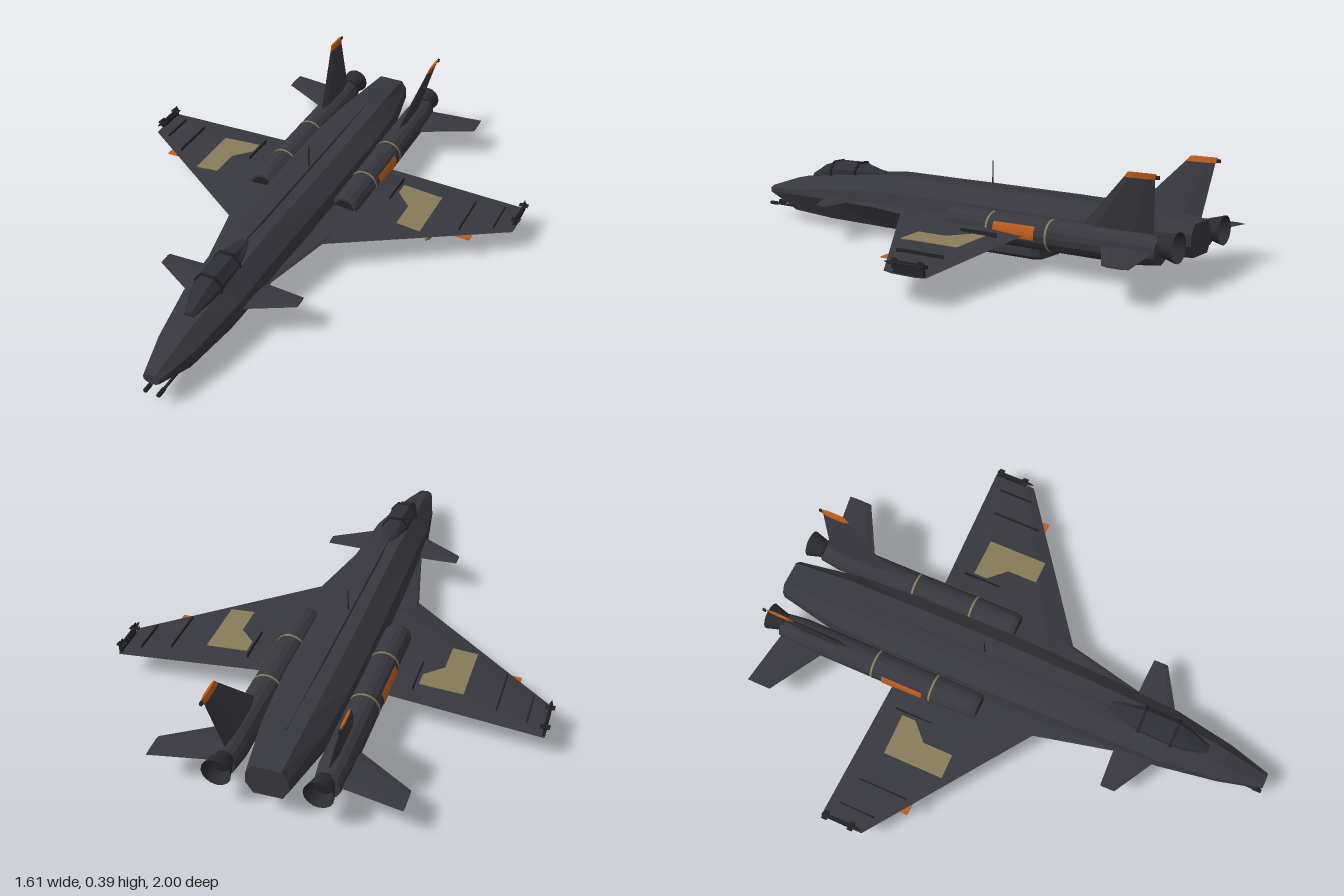
import * as THREE from 'three';

const mat = (name, color, extra = {}) => {
  const m = new THREE.MeshStandardMaterial({ color, ...extra });
  m.name = name;
  return m;
};

// Skin a list of equal-length rings, cap both ends, keep hard facets facing outward
function loft(rings) {
  const tris = [], n = rings[0].length;
  const add = (a, b, c) => tris.push([a, b, c]);
  for (let i = 0; i < rings.length - 1; i++) {
    for (let j = 0; j < n; j++) {
      const k = (j + 1) % n, A = rings[i], B = rings[i + 1];
      add(A[j], A[k], B[k]);
      add(A[j], B[k], B[j]);
    }
  }
  const first = rings[0], last = rings[rings.length - 1];
  for (let j = 1; j < n - 1; j++) {
    add(first[0], first[j + 1], first[j]);
    add(last[0], last[j], last[j + 1]);
  }
  let volume = 0;
  for (const [a, b, c] of tris) {
    volume += new THREE.Vector3(...a).dot(new THREE.Vector3(...b).cross(new THREE.Vector3(...c)));
  }
  const pos = tris.flatMap(([a, b, c]) => (volume < 0 ? [a, c, b] : [a, b, c])).flat();
  const g = new THREE.BufferGeometry();
  g.setAttribute('position', new THREE.Float32BufferAttribute(pos, 3));
  g.computeVertexNormals();
  return g;
}

// Wing-like solid: stations [x, y, zFront, zBack, thickness]
const FOIL = [[0, 0], [0.2, 0.5], [0.75, 0.5], [1, 0], [0.75, -0.5], [0.2, -0.5]];
const foil = (stations, upright = false) => loft(stations.map(([x, y, zf, zb, t]) =>
  FOIL.map(([u, v]) => [x + (upright ? v * t : 0), y + (upright ? 0 : v * t), zf + (zb - zf) * u])));

// Tube-like solid along z, bigger z first
const rod = (rBack, rFront, zBack, zFront, sides = 12, open = false) =>
  new THREE.CylinderGeometry(rFront, rBack, zFront - zBack, sides, 1, open)
    .rotateX(Math.PI / 2).translate(0, 0, (zFront + zBack) / 2);
const box = (w, h, d) => new THREE.BoxGeometry(w, h, d);

export function createModel() {
  const hull = mat('hull charcoal', 0x37373e, { flatShading: true });
  const dark = mat('dark metal', 0x232327, { flatShading: true });
  const glass = mat('canopy glass', 0x2f2f37, { flatShading: true });
  const tan = mat('tan panel', 0x877c59);
  const orange = mat('burnt orange', 0xbb5c1c);
  const olive = mat('olive store', 0x7c7440, { flatShading: true });
  const nozzleMat = mat('nozzle metal', 0x2b2b30, { side: THREE.DoubleSide });

  const model = new THREE.Group();
  model.name = 'jetAircraft';
  const put = (parent, name, geo, m, x = 0, y = 0, z = 0) => {
    const mesh = new THREE.Mesh(geo, m);
    mesh.name = name;
    mesh.position.set(x, y, z);
    parent.add(mesh);
    return mesh;
  };

  // Fuselage: [z, topHalf, topY, shoulderHalf, shoulderY, lowHalf, lowY, bottomHalf, bottomY]
  const body = [
    [0.995, 0.015, 0.135, 0.03, 0.125, 0.03, 0.11, 0.015, 0.1],
    [0.83, 0.03, 0.185, 0.073, 0.14, 0.075, 0.12, 0.045, 0.05],
    [0.6, 0.05, 0.222, 0.105, 0.17, 0.115, 0.13, 0.07, 0.045],
    [0.3, 0.055, 0.248, 0.115, 0.19, 0.135, 0.13, 0.08, 0.045],
    [-0.1, 0.062, 0.246, 0.125, 0.195, 0.142, 0.14, 0.08, 0.045],
    [-0.5, 0.062, 0.242, 0.125, 0.19, 0.14, 0.13, 0.08, 0.058],
    [-0.75, 0.06, 0.236, 0.112, 0.18, 0.122, 0.13, 0.075, 0.078],
    [-0.995, 0.05, 0.212, 0.072, 0.18, 0.075, 0.14, 0.05, 0.1],
  ];
  put(model, 'fuselage', loft(body.map(([z, tw, ty, sw, sy, lw, ly, bw, by]) => [
    [tw, ty, z], [sw, sy, z], [lw, ly, z], [bw, by, z],
    [-bw, by, z], [-lw, ly, z], [-sw, sy, z], [-tw, ty, z],
  ])), hull);

  // Dorsal spine: [z, halfWidth, topY]
  put(model, 'dorsalSpine', loft([[0.38, 0.006, 0.25], [0.25, 0.017, 0.259], [-0.45, 0.016, 0.252], [-0.82, 0.006, 0.234]]
    .map(([z, w, y]) => [[w * 0.7, y, z], [w, y - 0.02, z], [-w, y - 0.02, z], [-w * 0.7, y, z]])), hull);

  // Canopy: [z, halfWidth, topY, baseY]
  const canopy = [[0.755, 0.018, 0.21, 0.185], [0.67, 0.042, 0.255, 0.2], [0.61, 0.05, 0.273, 0.21],
    [0.5, 0.05, 0.275, 0.22], [0.4, 0.03, 0.253, 0.235], [0.36, 0.015, 0.25, 0.24]];
  const canopyRing = ([z, w, t, b]) => [[w, b, z], [w, (t + b) / 2, z], [w * 0.5, t, z],
    [-w * 0.5, t, z], [-w, (t + b) / 2, z], [-w, b, z]];
  put(model, 'canopy', loft(canopy.map(canopyRing)), glass);
  for (const [z, t] of [[0.62, 0.275], [0.49, 0.279]]) {
    put(model, 'canopyFrame', loft([z + 0.005, z - 0.005].map(s => canopyRing([s, 0.054, t, 0.21]))), dark);
  }

  put(model, 'antenna', new THREE.CylinderGeometry(0.002, 0.003, 0.1, 6), dark, 0, 0.291, -0.155);

  // Belly tray with painted strips
  put(model, 'bellyTray', loft([[0.21, 0.07], [0.18, 0.085], [-0.38, 0.085], [-0.41, 0.07]]
    .map(([z, w]) => [[w, 0.055, z], [w, 0.024, z], [w * 0.85, 0.012, z], [-w * 0.85, 0.012, z], [-w, 0.024, z], [-w, 0.055, z]])), hull);
  put(model, 'trayRail', box(0.012, 0.008, 0.54), dark, 0, 0.009, -0.1);
  put(model, 'trayProbe', box(0.07, 0.004, 0.02), dark, 0, 0.01, 0.28);

  // Everything paired is built on +x and mirrored
  const half = new THREE.Group();
  half.name = 'leftSide';

  put(half, 'trayStrip', box(0.036, 0.006, 0.54), orange, 0.038, 0.011, -0.1);
  put(half, 'gunBarrel', rod(0.006, 0.005, 0.8, 0.97, 8), dark, 0.025, 0.06, 0);
  put(half, 'gunMuzzle', rod(0.008, 0.008, 0.965, 1, 8), dark, 0.025, 0.06, 0);

  // Lifting surfaces
  put(half, 'strake', foil([[0.09, 0.14, 0.6, -0.05, 0.02], [0.2, 0.136, 0.12, -0.05, 0.012]]), hull);
  put(half, 'wing', foil([[0.1, 0.14, 0.2, -0.437, 0.024], [0.79, 0.1, -0.3, -0.468, 0.008]]), hull);
  put(half, 'canard', foil([[0.09, 0.142, 0.6, 0.43, 0.014], [0.272, 0.14, 0.495, 0.438, 0.006]]), hull);
  put(half, 'tailplane', foil([[0.18, 0.138, -0.72, -0.925, 0.016], [0.435, 0.13, -0.87, -0.965, 0.006]]), hull);
  put(half, 'tailFin', foil([[0.172, 0.17, -0.63, -0.91, 0.026], [0.222, 0.374, -0.824, -0.935, 0.009]], true), hull);
  put(half, 'tailFinTip', foil([[0.222, 0.374, -0.824, -0.94, 0.011], [0.227, 0.393, -0.84, -0.942, 0.008]], true), orange);
  put(half, 'tailLight', box(0.008, 0.012, 0.012), dark, 0.226, 0.382, -0.945);

  // Thin painted plates that follow the wing slope
  const topY = x => 0.152 - 0.0696 * (x - 0.1);
  const lowY = x => 0.128 - 0.0464 * (x - 0.1);
  const plate = (name, pts, yOf, m) => {
    const g = new THREE.ExtrudeGeometry(new THREE.Shape(pts.map(([x, z]) => new THREE.Vector2(x, -z))),
      { depth: 0.004, bevelEnabled: false }).rotateX(-Math.PI / 2);
    const p = g.attributes.position;
    for (let i = 0; i < p.count; i++) p.setY(i, p.getY(i) + yOf(p.getX(i)) - 0.002);
    g.computeVertexNormals();
    put(half, name, g, m);
  };
  plate('wingPatch', [[0.485, -0.355], [0.325, -0.355], [0.325, -0.3], [0.39, -0.235], [0.39, -0.115], [0.485, -0.115]], topY, tan);
  plate('underwingPatch', [[0.57, -0.175], [0.66, -0.175], [0.66, -0.42], [0.57, -0.42]], lowY, orange);
  for (const [x, z0, z1] of [[0.31, -0.39, -0.24], [0.61, -0.395, -0.2], [0.72, -0.42, -0.28]]) {
    put(half, 'wingFence', box(0.004, 0.016, z1 - z0), dark, x, topY(x) + 0.003, (z0 + z1) / 2);
  }

  // Wingtip rail and missile
  put(half, 'tipRail', box(0.01, 0.022, 0.12), dark, 0.786, 0.112, -0.4);
  put(half, 'tipMissile', rod(0.006, 0.006, -0.46, -0.32, 8), dark, 0.786, 0.13, 0);
  put(half, 'tipMissileNose', rod(0.006, 0.001, -0.32, -0.3, 8), dark, 0.786, 0.13, 0);
  for (const z of [-0.34, -0.445]) {
    put(half, 'missileFin', box(0.034, 0.003, 0.022), dark, 0.786, 0.13, z);
    put(half, 'missileFin', box(0.003, 0.034, 0.022), dark, 0.786, 0.13, z);
  }

  // Underwing stores
  for (const [x, z] of [[0.312, -0.2], [0.5, -0.235]]) {
    const store = new THREE.Group();
    store.name = 'store';
    store.position.set(x, 0.068, z);
    const profile = [[0, -0.085], [0.008, -0.085], [0.016, -0.04], [0.018, 0.02], [0.014, 0.065], [0, 0.095]];
    put(store, 'storeBody', new THREE.LatheGeometry(profile.map(p => new THREE.Vector2(...p)), 10).rotateX(Math.PI / 2), olive);
    for (let i = 0; i < 2; i++) {
      put(store, 'storeFin', box(0.042, 0.003, 0.035), olive, 0, 0, -0.075).rotation.z = Math.PI / 4 + i * Math.PI / 2;
    }
    put(store, 'pylon', box(0.01, 0.04, 0.09), dark, 0, 0.03, 0);
    half.add(store);
  }

  // Engine nacelle, bands, side panel and flared nozzle
  const engine = new THREE.Group();
  engine.name = 'engine';
  engine.position.set(0.178, 0.137, 0);
  put(engine, 'nacelle', rod(0.056, 0.056, -0.86, -0.12, 16), hull);
  put(engine, 'nacelleLip', rod(0.056, 0.05, -0.12, -0.1, 16), hull);
  put(engine, 'intakeFace', rod(0.041, 0.041, -0.1, -0.097, 16), dark);
  put(engine, 'nacelleTail', rod(0.046, 0.056, -0.94, -0.86, 16), hull);
  for (const z of [-0.29, -0.535]) put(engine, 'nacelleBand', rod(0.0575, 0.0575, z - 0.004, z + 0.004, 16), tan);
  put(engine, 'sidePanel', new THREE.CylinderGeometry(0.0585, 0.0585, 0.17, 6, 1, true, Math.PI / 2 - 0.25, 0.85)
    .rotateX(Math.PI / 2).translate(0, 0, -0.405), orange);
  put(engine, 'nozzle', rod(0.052, 0.032, -1, -0.93, 16, true), nozzleMat, -0.006, 0.018, 0);
  put(engine, 'nozzleCore', rod(0.034, 0.034, -0.955, -0.93, 16), dark, -0.006, 0.018, 0);
  half.add(engine);

  const mirrored = half.clone();
  mirrored.name = 'rightSide';
  mirrored.scale.x = -1;
  model.add(half, mirrored);
  return model;
}
